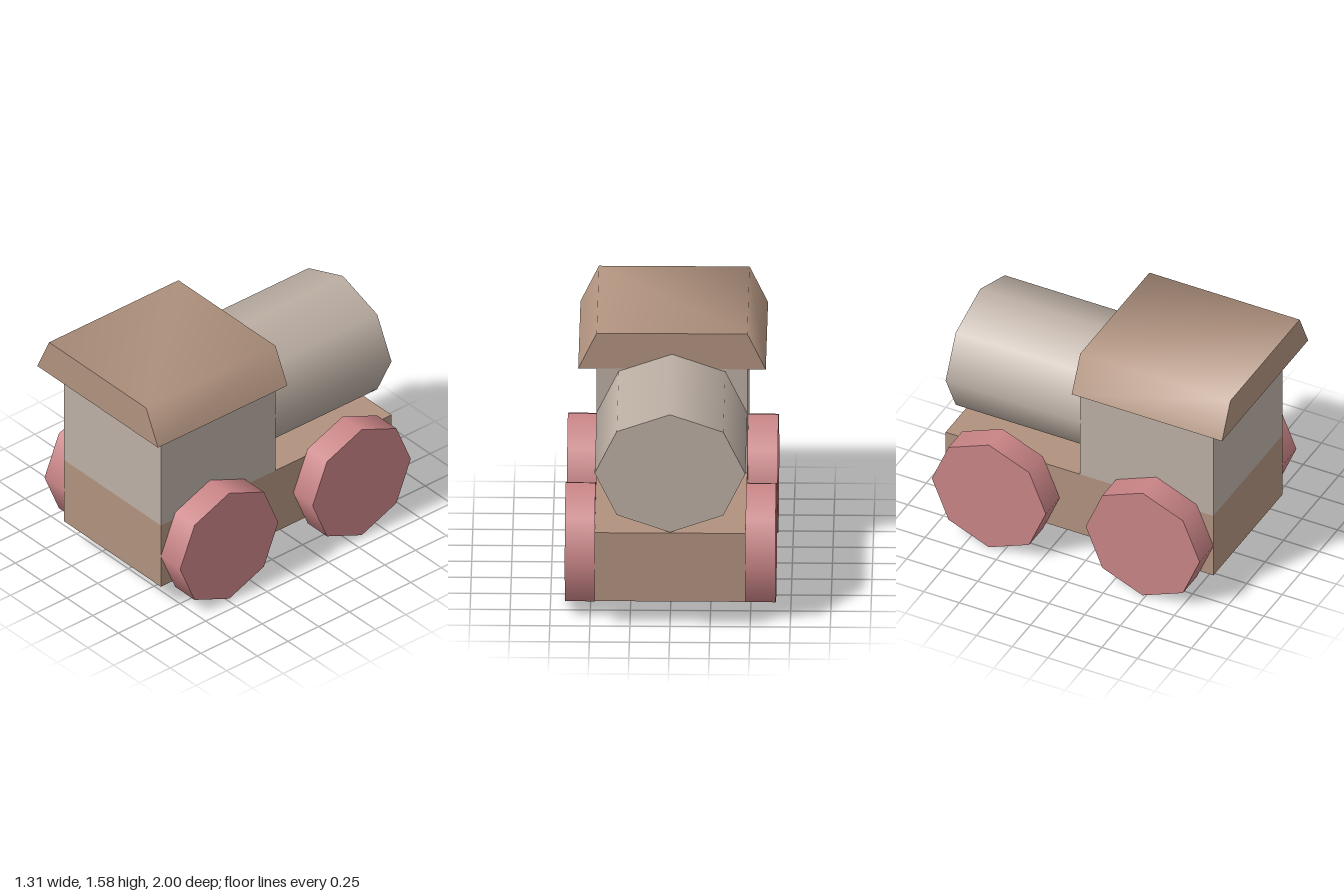
import * as THREE from 'three';
import { toCreasedNormals } from 'three/addons/utils/BufferGeometryUtils.js';

const material = (name, color) => {
  const m = new THREE.MeshStandardMaterial({ color });
  m.name = name;
  return m;
};

export function createModel() {
  const brown = material('brown', 0xb0927e);
  const grey = material('warmGrey', 0xbcafa4);
  const pink = material('dustyPink', 0xc98486);

  const model = new THREE.Group();
  model.name = 'toyTrain';

  const add = (name, geometry, mat, x = 0, y = 0, z = 0) => {
    const mesh = new THREE.Mesh(geometry, mat);
    mesh.name = name;
    mesh.position.set(x, y, z);
    model.add(mesh);
    return mesh;
  };

  // Box given by its y and z limits, sharing the body width
  const halfWidth = 0.47;
  const slab = (name, mat, y0, y1, z0, z1) =>
    add(name, new THREE.BoxGeometry(halfWidth * 2, y1 - y0, z1 - z0), mat,
      0, (y0 + y1) / 2, (z0 + z1) / 2);

  const back = -1, cabBack = -0.055, cabFront = 0.88;
  slab('chassis', brown, 0.17, 0.635, back, cabFront);
  slab('cab', grey, 0.635, 1.34, cabBack, cabFront);

  // Roof: trapezoid section with soft upper edges
  const section = new THREE.Shape([
    new THREE.Vector2(-0.585, 1.34),
    new THREE.Vector2(0.585, 1.34),
    new THREE.Vector2(0.47, 1.58),
    new THREE.Vector2(-0.47, 1.58),
  ]);
  const roof = new THREE.ExtrudeGeometry(section, { depth: 1 - cabBack, bevelEnabled: false });
  add('roof', toCreasedNormals(roof, 1.2), brown, 0, 0, cabBack);

  // Boiler: eight-sided barrel, slightly wider than tall
  const boiler = new THREE.CylinderGeometry(0.4, 0.4, cabBack - back, 8)
    .rotateX(Math.PI / 2)
    .scale(halfWidth / 0.4, 1, 1);
  add('boiler', boiler, grey, 0, 1.04, (cabBack + back) / 2);

  // Wheels: eight-sided discs on both sides
  const thickness = 0.187;
  const wheel = new THREE.CylinderGeometry(0.4, 0.4, thickness, 8).rotateZ(Math.PI / 2);
  for (const [end, z] of [['front', 0.48], ['back', -0.6]]) {
    for (const [side, s] of [['Left', 1], ['Right', -1]]) {
      add(`${end}${side}Wheel`, wheel, pink, s * (halfWidth + thickness / 2), 0.4, z);
    }
  }

  return model;
}
